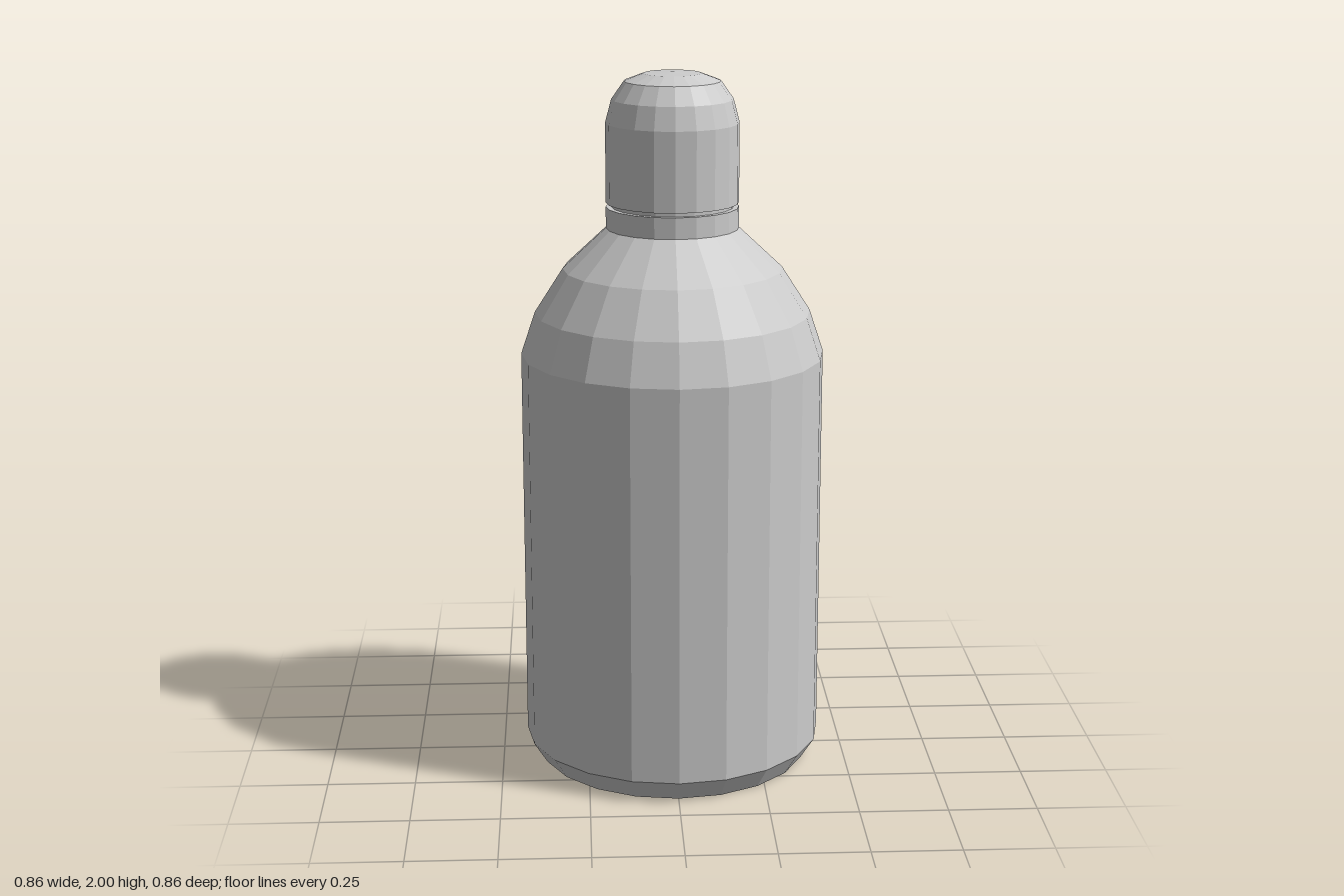
import * as THREE from 'three';

const SIDES = 20;

export function createModel() {
  const group = new THREE.Group();
  const material = new THREE.MeshStandardMaterial({ color: 0xcccccc, flatShading: true });

  // Profiles are [radius, height] pairs, running from bottom to top
  const addTurned = (name, profile) => {
    const points = profile.map(([r, y]) => new THREE.Vector2(r, y));
    const mesh = new THREE.Mesh(new THREE.LatheGeometry(points, SIDES), material);
    mesh.name = name;
    group.add(mesh);
  };

  // Body with chamfered base and rounded shoulder
  addTurned('bottleBody', [
    [0, 0], [0.39, 0], [0.43, 0.063], [0.43, 1.205],
    [0.39, 1.325], [0.31, 1.45], [0.187, 1.565],
  ]);

  // Neck collar below the cap
  addTurned('neckCollar', [[0.187, 1.565], [0.187, 1.625], [0.172, 1.625]]);

  // Recessed gap between collar and cap
  addTurned('neckGroove', [[0.172, 1.625], [0.172, 1.637]]);

  // Domed cap
  addTurned('cap', [
    [0.172, 1.637], [0.187, 1.637], [0.187, 1.86],
    [0.17, 1.925], [0.135, 1.975], [0.08, 1.996], [0, 2],
  ]);

  return group;
}
